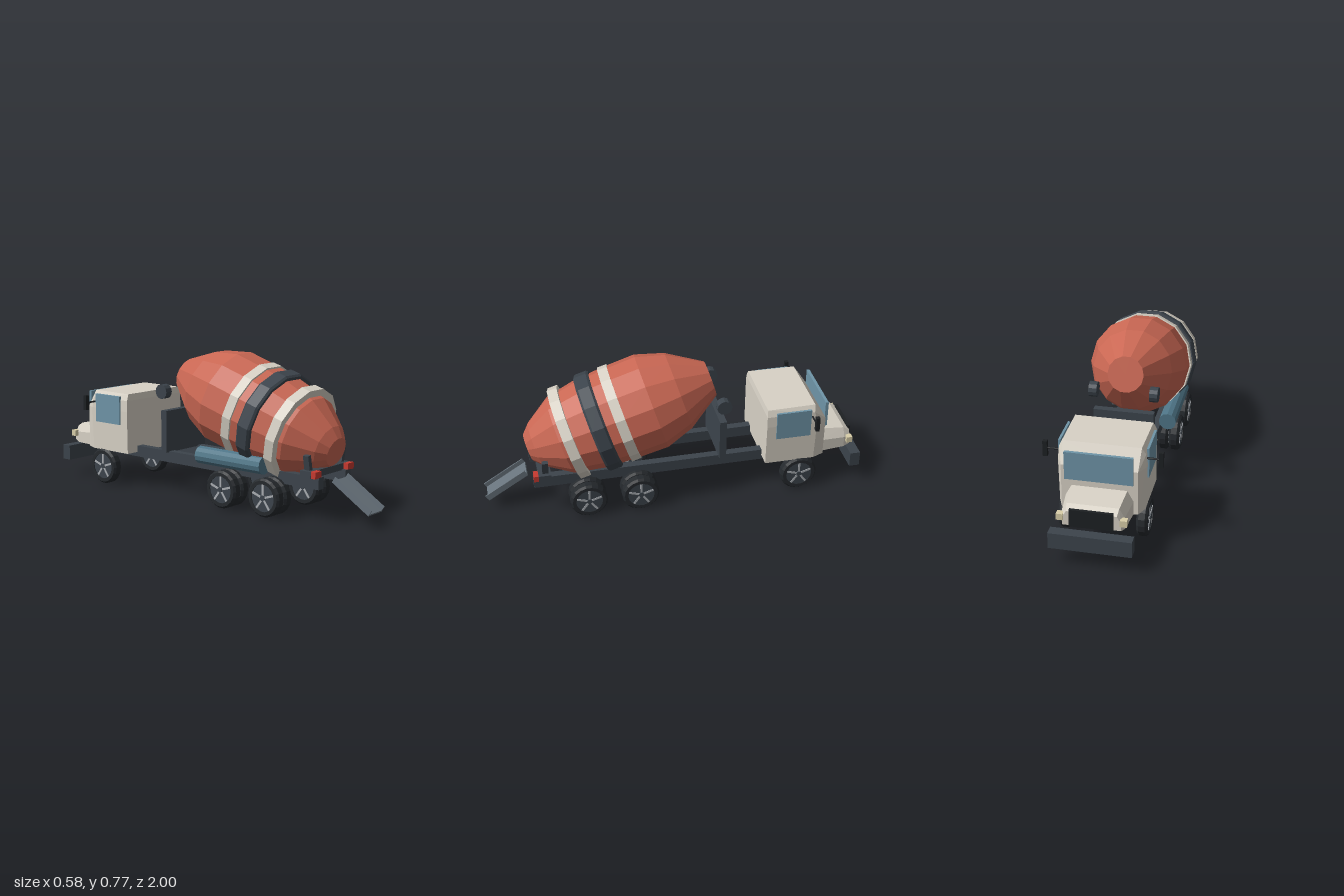
import * as THREE from 'three';
import { ConvexGeometry } from 'three/addons/geometries/ConvexGeometry.js';

const paint = (color) => new THREE.MeshStandardMaterial({ color, flatShading: true });

export function createModel() {
  const model = new THREE.Group();
  model.name = 'mixerTruck';
  const red = paint(0xc96753), cream = paint(0xd8d2c6), dark = paint(0x3c444c), tyre = paint(0x25292d),
    black = paint(0x1d2023), glass = paint(0x6f95a8), lamp = paint(0xc83a30), steel = paint(0x67727b),
    tankBlue = paint(0x4f7688), spokeGrey = paint(0xa9adb2), headlamp = paint(0xd9cfa9);

  const add = (name, geometry, material, x = 0, y = 0, z = 0, parent = model) => {
    const mesh = new THREE.Mesh(geometry, material);
    mesh.name = name;
    mesh.position.set(x, y, z);
    parent.add(mesh);
    return mesh;
  };
  // Box given by its limits on each axis
  const box = (name, material, [x0, x1], [y0, y1], [z0, z1], parent = model) =>
    add(name, new THREE.BoxGeometry(x1 - x0, y1 - y0, z1 - z0), material,
      (x0 + x1) / 2, (y0 + y1) / 2, (z0 + z1) / 2, parent);
  // Convex hull of half the corners, mirrored in x
  const hull = (name, material, corners) => add(name, new ConvexGeometry(corners.flatMap(([x, y, z]) =>
    [new THREE.Vector3(x, y, z), new THREE.Vector3(-x, y, z)])), material);
  const lathe = (points, sides, start = 0) =>
    new THREE.LatheGeometry(points.map(([r, y]) => new THREE.Vector2(r, y)), sides, start);

  // Cab with bevelled roof and front corners
  hull('cab', cream, [
    [0.21, 0.19, -0.465], [0.21, 0.19, -0.73], [0.185, 0.19, -0.79],
    [0.213, 0.42, -0.465], [0.213, 0.42, -0.735], [0.185, 0.42, -0.79],
    [0.21, 0.48, -0.465], [0.21, 0.48, -0.72],
    [0.195, 0.515, -0.47], [0.19, 0.515, -0.725],
  ]);
  hull('hood', cream, [
    [0.165, 0.19, -0.78], [0.165, 0.26, -0.78], [0.135, 0.316, -0.78],
    [0.15, 0.19, -0.92], [0.15, 0.25, -0.92], [0.125, 0.298, -0.92],
    [0.14, 0.2, -0.955], [0.14, 0.24, -0.955], [0.12, 0.275, -0.955],
  ]);
  box('windscreen', glass, [-0.165, 0.165], [0.355, 0.5], [-0.808, -0.792]);
  box('grille', black, [-0.105, 0.105], [0.2, 0.29], [-0.965, -0.95]);
  box('bumper', dark, [-0.2, 0.2], [0.09, 0.172], [-1, -0.945]);

  // Panel behind the cab and rear crossmember
  box('frontDrumStand', dark, [-0.155, 0.155], [0.22, 0.445], [-0.265, -0.228]);
  box('rearCrossmember', dark, [-0.165, 0.165], [0.222, 0.256], [0.66, 0.725]);

  // Paired parts
  for (const s of [-1, 1]) {
    const span = (a, b) => (s > 0 ? [a, b] : [-b, -a]);
    box('frameRail', dark, span(0.093, 0.134), [0.165, 0.225], [-0.75, 0.75]);
    box('sideWindow', glass, span(0.208, 0.22), [0.345, 0.5], [-0.7, -0.515]);
    box('headlight', headlamp, span(0.135, 0.168), [0.225, 0.258], [-0.96, -0.928]);
    box('tailLight', lamp, span(0.111, 0.163), [0.223, 0.256], [0.72, 0.75]);
    box('mirror', black, span(0.269, 0.291), [0.415, 0.495], [-0.722, -0.702]);
    const arm = add('mirrorArm', new THREE.CylinderGeometry(0.005, 0.005, 0.075, 6), black, s * 0.243, 0.455, -0.708);
    arm.rotation.z = Math.PI / 2;
    const roller = add('drumRoller', new THREE.CylinderGeometry(0.039, 0.039, 0.042, 12), dark, s * 0.155, 0.549, -0.245);
    roller.rotation.z = Math.PI / 2;
    const post = add('rearDrumPost', new THREE.BoxGeometry(0.022, 0.105, 0.032), dark, s * 0.138, 0.278, 0.688);
    post.rotation.z = s * -0.2;
  }

  // Mixing drum, tilted along its axis
  const drum = new THREE.Group();
  drum.name = 'drum';
  drum.position.set(0, 0.332, 0.755);
  drum.rotation.x = -THREE.MathUtils.degToRad(73);
  model.add(drum);
  const turn = (name, material, points) => add(name, lathe(points, 14, Math.PI / 14), material, 0, 0, 0, drum);
  turn('drumShell', red, [[0, 0], [0.075, 0], [0.12, 0.043], [0.21, 0.18], [0.243, 0.35],
    [0.253, 0.52], [0.256, 0.68], [0.208, 0.83], [0.093, 1.008], [0, 1.008]]);
  turn('rearBand', cream, [[0.19, 0.2], [0.25, 0.2], [0.25, 0.253], [0.19, 0.253]]);
  turn('rollerTrack', dark, [[0.22, 0.347], [0.258, 0.347], [0.266, 0.358], [0.266, 0.417], [0.258, 0.428], [0.22, 0.428]]);
  turn('frontBand', cream, [[0.23, 0.478], [0.26, 0.478], [0.26, 0.53], [0.23, 0.53]]);

  // Water tank on the right side
  const tank = add('waterTank', new THREE.CylinderGeometry(0.046, 0.046, 0.42, 12), tankBlue, -0.174, 0.25, 0.24);
  tank.rotation.x = Math.PI / 2;

  // Discharge chute: floor and two lips
  const chute = new THREE.Group();
  chute.name = 'chute';
  chute.position.set(0, 0.143, 0.888);
  chute.rotation.x = 0.56;
  model.add(chute);
  box('chuteFloor', steel, [-0.057, 0.057], [-0.018, -0.008], [-0.125, 0.125], chute);
  for (const x of [-0.054, 0.054]) {
    box('chuteLip', steel, [x - 0.003, x + 0.003], [-0.018, 0.016], [-0.125, 0.125], chute);
  }

  // Wheels: bevelled tyre, disc, five spokes on both faces
  const tyreGeometry = lathe([[0.07, -0.027], [0.088, -0.027], [0.098, -0.016], [0.098, 0.016],
    [0.088, 0.027], [0.07, 0.027], [0.07, -0.027]], 18);
  const discGeometry = new THREE.CylinderGeometry(0.072, 0.072, 0.046, 18);
  const hubGeometry = new THREE.CylinderGeometry(0.014, 0.014, 0.06, 10);
  const spokeGeometry = new THREE.BoxGeometry(0.062, 0.052, 0.011).translate(0.037, 0, 0);
  const wheel = (name, x, z) => {
    const group = new THREE.Group();
    group.name = name;
    group.position.set(x, 0.098, z);
    group.rotation.z = Math.PI / 2;
    model.add(group);
    add('tyre', tyreGeometry, tyre, 0, 0, 0, group);
    add('wheelDisc', discGeometry, dark, 0, 0, 0, group);
    add('hub', hubGeometry, dark, 0, 0, 0, group);
    for (let i = 0; i < 5; i++) {
      add('spoke', spokeGeometry, spokeGrey, 0, 0, 0, group).rotation.y = (i * 2 * Math.PI) / 5;
    }
  };
  for (const s of [-1, 1]) {
    wheel('frontWheel', s * 0.192, -0.654);
    for (const z of [0.204, 0.477]) {
      for (const x of [0.134, 0.195]) wheel('rearWheel', s * x, z);
    }
  }
  return model;
}
